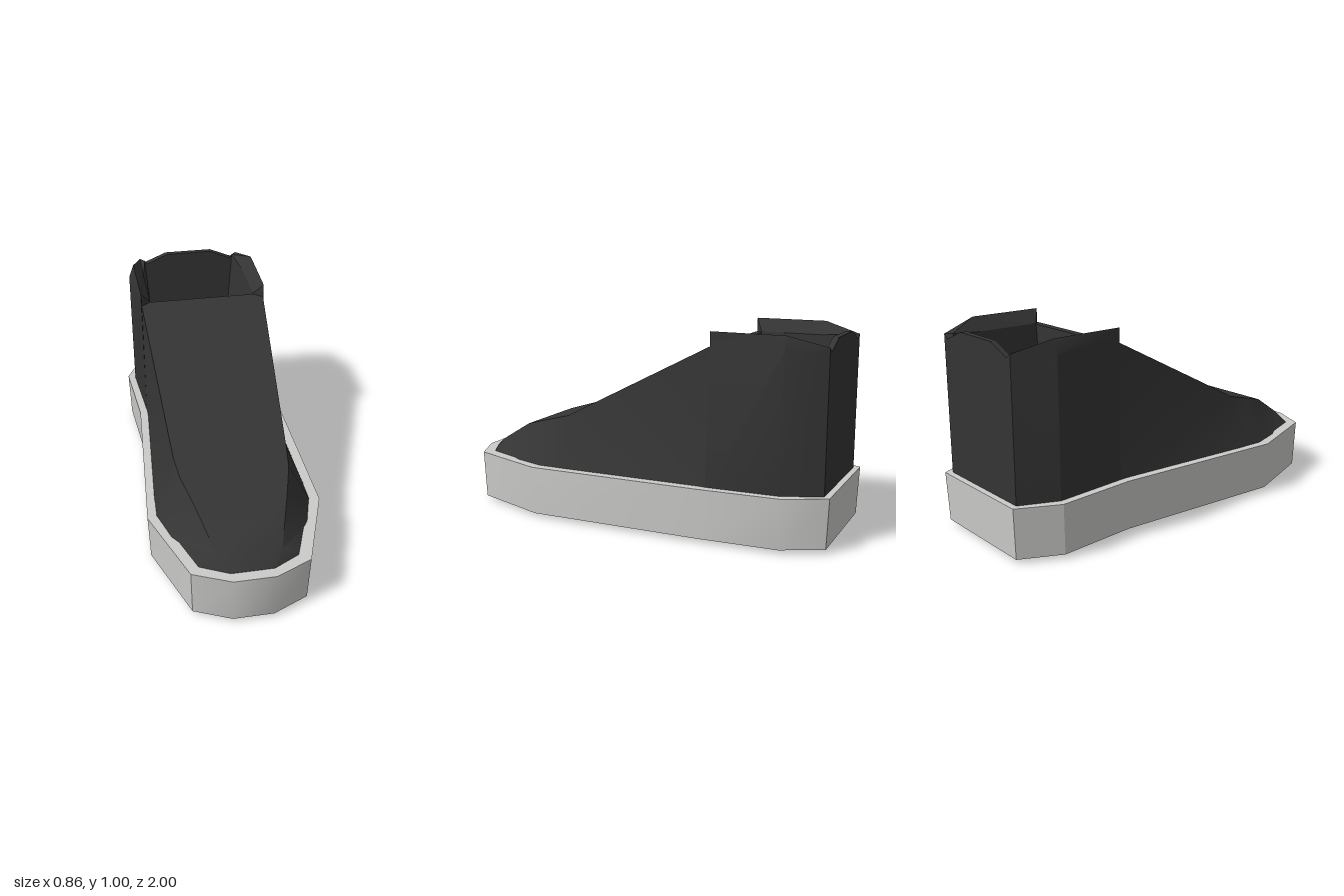
import * as THREE from 'three';
import { toCreasedNormals } from 'three/addons/utils/BufferGeometryUtils.js';

// Skin a grid of points: rows of cross-sections, optionally closed around each row
function skin(rows, closed, crease, flip = () => false) {
  const pos = [];
  const n = rows[0].length;
  const tri = (a, b, c) => {
    const [va, vb, vc] = [a, b, c].map((p) => new THREE.Vector3(...p));
    const area = vb.clone().sub(va).cross(vc.clone().sub(va)).length();
    if (area > 1e-7) pos.push(...a, ...b, ...c);
  };
  for (let i = 0; i < rows.length - 1; i++) {
    for (let j = 0; j < (closed ? n : n - 1); j++) {
      const k = (j + 1) % n;
      const a = rows[i][j], b = rows[i][k], c = rows[i + 1][k], d = rows[i + 1][j];
      if (flip(j)) { tri(a, b, d); tri(b, c, d); } else { tri(a, b, c); tri(a, c, d); }
    }
  }
  const g = new THREE.BufferGeometry();
  g.setAttribute('position', new THREE.Float32BufferAttribute(pos, 3));
  g.computeVertexNormals();
  return toCreasedNormals(g, crease);
}

export function createModel() {
  const group = new THREE.Group();
  const black = new THREE.MeshStandardMaterial({ color: 0x343434 });
  black.name = 'black leather';
  black.side = THREE.DoubleSide;
  const grey = new THREE.MeshStandardMaterial({ color: 0xcbcbc9 });
  grey.name = 'light grey rubber';
  const add = (name, geometry, material) => {
    const mesh = new THREE.Mesh(geometry, material);
    mesh.name = name;
    group.add(mesh);
  };

  // Sole: slab on a foot-shaped outline with a slightly crowned underside
  const outline = [
    [0.1, 1], [0.28, 0.92], [0.43, 0.51], [0.42, -0.4], [0.4, -0.8], [0.3, -1],
    [-0.3, -1], [-0.4, -0.8], [-0.37, -0.4], [-0.43, 0.51], [-0.28, 0.92], [-0.1, 1],
  ];
  const ring = (sx, sz, y) => outline.map(([x, z]) => [x * sx, y, z * sz]);
  add('sole', skin([
    ring(0, 0, 0), ring(0.66, 0.6, 0), ring(0.98, 0.99, 0.02), ring(1, 1, 0.267), ring(0, 0, 0.267),
  ], true, 0.45), grey);

  // Vamp and toe: sections from toe to ankle (z, left width, right width, top width, top y)
  const sections = [
    [0.95, 0.1, 0.1, 0.1, 0.265],
    [0.88, 0.26, 0.25, 0.15, 0.315],
    [0.66, 0.34, 0.335, 0.22, 0.44],
    [0.5, 0.39, 0.385, 0.265, 0.487],
    [0.38, 0.385, 0.385, 0.28, 0.52],
    [-0.42, 0.33, 0.375, 0.328, 0.93],
  ].map(([z, l, r, t, y]) => [[-l, 0.255, z], [-t, y, z], [t, y, z], [r, 0.255, z]]);
  add('vamp', skin(sections, false, 0.75, (j) => j === 0), black);

  // Ankle: columns as (x, z, wall top y, peak x, peak y, rim x, rim z), right half then mirrored
  const half = [
    [0.328, -0.42, 0.93, 0.328, 0.93, 0.28, -0.46],
    [0.33, -0.42, 0.93, 0.33, 1.0, 0.28, -0.46],
    [0.36, -0.785, 0.93, 0.335, 1.0, 0.28, -0.785],
    [0.28, -0.97, 0.94, 0.28, 0.95, 0.255, -0.94],
    [0.25, -0.97, 0.92, 0.25, 0.93, 0.24, -0.94],
    [0.13, -0.97, 0.93, 0.13, 0.98, 0.125, -0.94],
  ];
  const columns = [...half, ...half.slice().reverse().map(([x, z, y, px, py, rx, rz]) => [-x, z, y, -px, py, -rx, rz])];
  const row = (f) => columns.map(f);
  add('ankle', skin([
    row(([x, z]) => [x > 0.3 && z > -0.7 ? 0.375 : x, 0.255, z]),
    row(([x, z, y]) => [x, y, z]),
    row(([, z, , px, py]) => [px, py, z]),
    row(([, , , , py, rx, rz]) => [rx, py > 0.99 ? 0.935 : py, rz]),
  ], true, 0.4), black);

  // Foot opening: tapered well with a closed floor
  add('lining', skin([
    row(([, , , , py, rx, rz]) => [rx, py > 0.99 ? 0.935 : py, rz]),
    row(([, , , , , rx, rz]) => [rx * 0.82, 0.3, rz]),
    row(() => [0, 0.3, -0.7]),
  ], true, 0.3), black);

  return group;
}
